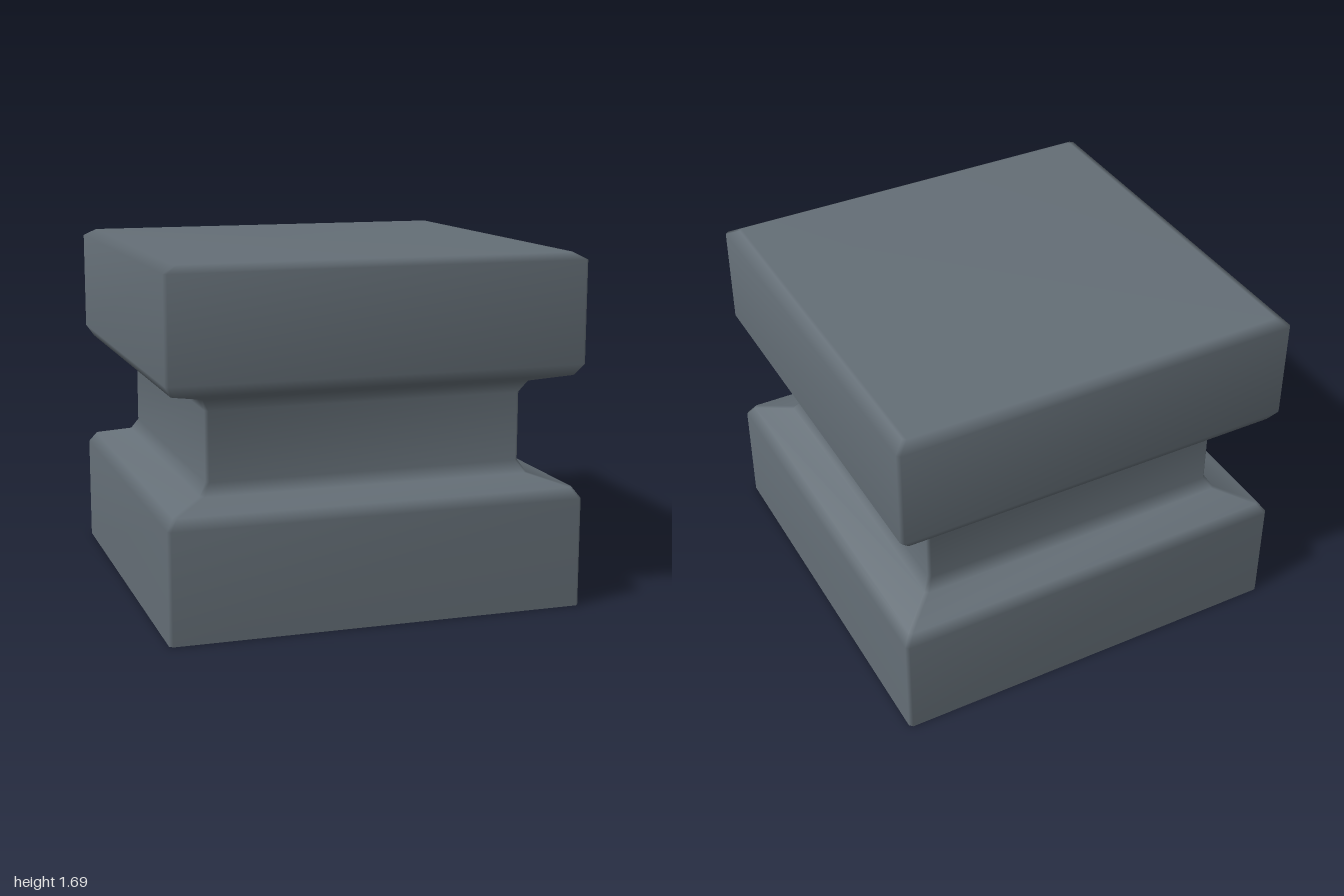
import * as THREE from 'three';

// Half-width and height of each ring, from the open foot up to the lid
const PROFILE = [
  [1, 0], [1, 0.525], [0.965, 0.577], [0.805, 0.623], [0.77, 0.68],
  [0.77, 1.01], [0.805, 1.07], [0.965, 1.116], [1, 1.17], [1, 1.657], [0.945, 1.69],
];
const BEVEL = 0.016;

// Square ring with clipped corners, counter-clockwise seen from above
function ring(r, y) {
  const k = r - BEVEL;
  return [
    [k, r], [r, k], [r, -k], [k, -r], [-k, -r], [-r, -k], [-r, k], [-k, r],
  ].map(([x, z]) => [x, y, z]);
}

// Loft the rings with shared vertices so the bevels shade smoothly
function shellGeometry() {
  const positions = PROFILE.flatMap(([r, y]) => ring(r, y)).flat();
  const index = [];
  const n = 8;
  for (let j = 0; j < PROFILE.length - 1; j++) {
    for (let i = 0; i < n; i++) {
      const a = j * n + i, b = j * n + (i + 1) % n;
      index.push(a, b, b + n, a, b + n, a + n);
    }
  }
  // Lid, closed as a fan; the foot stays open
  const top = (PROFILE.length - 1) * n;
  for (let i = 1; i < n - 1; i++) index.push(top, top + i, top + i + 1);

  const geometry = new THREE.BufferGeometry();
  geometry.setAttribute('position', new THREE.Float32BufferAttribute(positions, 3));
  geometry.setIndex(index);
  geometry.computeVertexNormals();
  return geometry;
}

export function createModel() {
  const slate = new THREE.MeshStandardMaterial({ color: 0x646e76, side: THREE.DoubleSide });
  slate.name = 'slate grey';

  const group = new THREE.Group();
  group.name = 'pedestal';
  const shell = new THREE.Mesh(shellGeometry(), slate);
  shell.name = 'pedestalShell';
  group.add(shell);
  return group;
}
